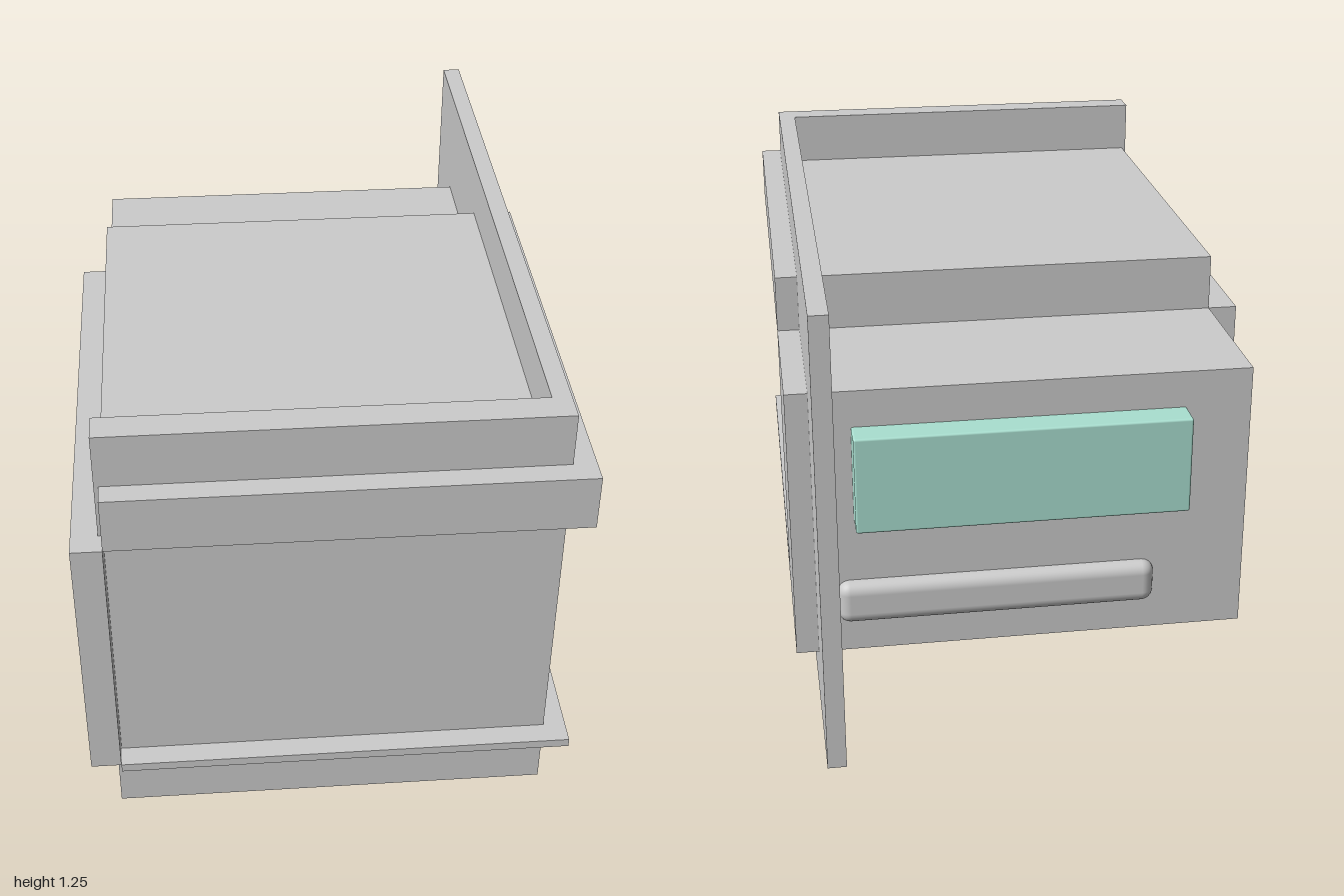
import * as THREE from 'three';
import { RoundedBoxGeometry } from 'three/addons/geometries/RoundedBoxGeometry.js';

export function createModel() {
  const model = new THREE.Group();
  const grey = new THREE.MeshStandardMaterial({ color: 0xcccccc });
  const teal = new THREE.MeshStandardMaterial({ color: 0xa9dfd0 });

  // Box given by its extents along each axis, optionally with rounded edges
  function block(name, [x0, x1], [y0, y1], [z0, z1], material = grey, radius = 0) {
    const size = [x1 - x0, y1 - y0, z1 - z0];
    const geometry = radius
      ? new RoundedBoxGeometry(...size, 4, radius)
      : new THREE.BoxGeometry(...size);
    const mesh = new THREE.Mesh(geometry, material);
    mesh.position.set((x0 + x1) / 2, (y0 + y1) / 2, (z0 + z1) / 2);
    mesh.name = name;
    model.add(mesh);
  }

  // L-shaped wall: one long side and the front
  const wall = new THREE.Shape([
    [-0.58, -0.94], [0.585, -0.94], [0.585, 1], [0.535, 1], [0.535, -0.86], [-0.58, -0.86],
  ].map(([x, y]) => new THREE.Vector2(x, y)));
  const wallGeometry = new THREE.ExtrudeGeometry(wall, { depth: 1.25, bevelEnabled: false });
  wallGeometry.rotateX(-Math.PI / 2);
  const wallMesh = new THREE.Mesh(wallGeometry, grey);
  wallMesh.name = 'cornerWall';
  model.add(wallMesh);

  // Body: slabs above and below, a rear block, and a side block
  const width = [-0.568, 0.645];
  block('upperSlab', width, [0.95, 1.103], [-0.305, 1]);
  block('lowerSlab', width, [0.175, 0.2], [-0.305, 1]);
  block('rearBlock', width, [0.2, 0.95], [-0.752, -0.305]);
  block('sideBlock', [-0.648, -0.568], [0.2, 0.95], [-0.305, 1]);

  // Details on the rear face
  block('rearWindow', [-0.395, 0.48], [0.585, 0.85], [-0.83, -0.74], teal, 0.006);
  block('rearHandle', [-0.32, 0.53], [0.29, 0.41], [-0.785, -0.715], grey, 0.033);

  return model;
}
